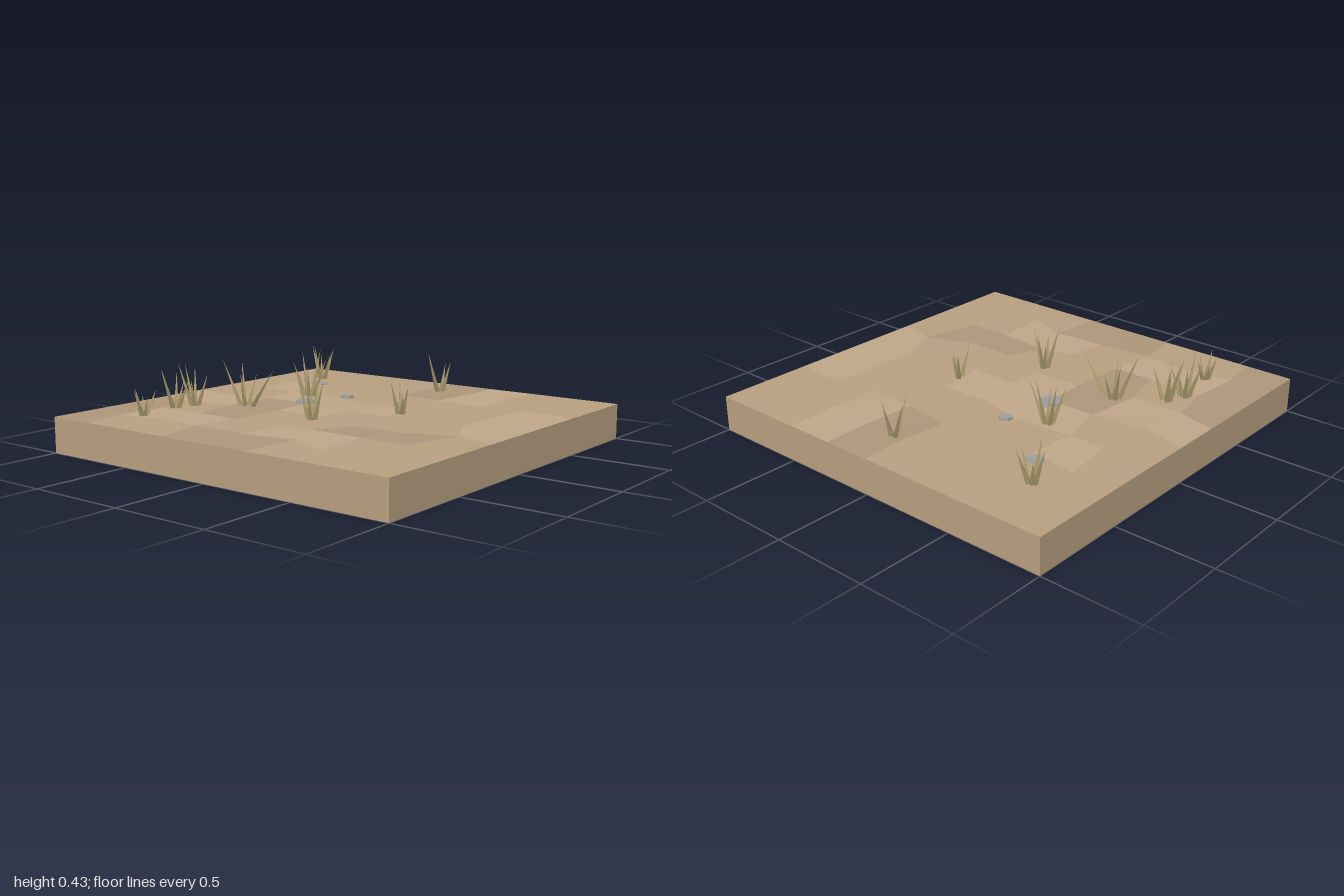
import * as THREE from 'three';

const mat = (name, color, flatShading = true) => {
  const m = new THREE.MeshStandardMaterial({ color, flatShading });
  m.name = name;
  return m;
};
const sand = mat('sand', 0xb89f80);
const lightSand = mat('lightSand', 0xbfa688);
const darkSand = mat('darkSand', 0xad967a);
const stoneGrey = mat('stoneGrey', 0x9c9c9b);
const dryGrass = mat('dryGrass', 0xa6976a);
const TOP = 0.18;

function addMesh(parent, name, geometry, material) {
  const mesh = new THREE.Mesh(geometry, material);
  mesh.name = name;
  parent.add(mesh);
  return mesh;
}

// Interior grid corners of the soil patches, [x, z] for each row
const corners = [
  [[-0.78, -0.78], [-0.52, -0.76], [-0.3, -0.8], [-0.04, -0.77], [0.24, -0.74], [0.51, -0.78], [0.76, -0.76]],
  [[-0.73, -0.47], [-0.52, -0.48], [-0.28, -0.53], [0, -0.5], [0.24, -0.55], [0.49, -0.53], [0.77, -0.5]],
  [[-0.76, -0.29], [-0.52, -0.26], [-0.22, -0.24], [0, -0.25], [0.26, -0.24], [0.5, -0.25], [0.74, -0.22]],
  [[-0.74, 0], [-0.52, 0.03], [-0.22, 0.02], [-0.03, 0.04], [0.2, 0], [0.53, -0.02], [0.8, 0]],
  [[-0.71, 0.28], [-0.48, 0.2], [-0.3, 0.29], [-0.04, 0.28], [0.22, 0.26], [0.49, 0.23], [0.75, 0.25]],
  [[-0.8, 0.5], [-0.5, 0.48], [-0.3, 0.53], [-0.04, 0.55], [0.22, 0.48], [0.48, 0.5], [0.75, 0.5]],
  [[-0.73, 0.71], [-0.5, 0.72], [-0.2, 0.8], [0, 0.7], [0.27, 0.71], [0.52, 0.72], [0.76, 0.74]],
];
// Shade of each patch: 0 sand, 1 light, 2 dark
const shades = ['22210000', '01010100', '01221000', '20011000',
  '21001022', '01200011', '00200000', '00011100'];

function corner(i, j) {
  if (i === 0 || j === 0 || i === 8 || j === 8) {
    // rim: straight along the block edge
    return [i / 4 - 1, TOP + 0.0005, j / 4 - 1];
  }
  const [x, z] = corners[j - 1][i - 1];
  return [x, TOP + 0.002 + 0.006 * (((i * 5 + j * 3 + i * j) % 7) / 7), z];
}

// Uneven soil surface, one mesh for each shade
function addSoil(parent) {
  const points = [[], [], []];
  for (let j = 0; j < 8; j++) {
    for (let i = 0; i < 8; i++) {
      const a = corner(i, j), b = corner(i + 1, j), c = corner(i + 1, j + 1), d = corner(i, j + 1);
      points[+shades[j][i]].push(...a, ...d, ...c, ...a, ...c, ...b);
    }
  }
  [sand, lightSand, darkSand].forEach((material, k) => {
    const g = new THREE.BufferGeometry();
    g.setAttribute('position', new THREE.Float32BufferAttribute(points[k], 3));
    g.computeVertexNormals();
    addMesh(parent, ['soilSurface', 'lightSoilPatches', 'darkSoilPatches'][k], g, material);
  });
}

// Grass clumps: centre, height, and the [x, z] of every blade tip
const clumps = [
  { at: [-0.72, -0.67], h: 0.14, tips: [[-0.79, -0.66], [-0.72, -0.73], [-0.64, -0.67], [-0.74, -0.62], [-0.69, -0.71]] },
  { at: [-0.47, -0.71], h: 0.21, tips: [[-0.57, -0.7], [-0.49, -0.79], [-0.42, -0.75], [-0.46, -0.62], [-0.43, -0.69]] },
  { at: [-0.37, -0.67], h: 0.23, tips: [[-0.44, -0.72], [-0.37, -0.74], [-0.32, -0.72], [-0.36, -0.59], [-0.42, -0.65]] },
  { at: [-0.22, -0.46], h: 0.24, tips: [[-0.28, -0.56], [-0.16, -0.54], [-0.21, -0.28], [-0.28, -0.44], [-0.15, -0.45]] },
  { at: [0.2, -0.39], h: 0.25, tips: [[0.27, -0.37], [0.24, -0.47], [0.22, -0.29], [0.14, -0.45], [0.15, -0.36]] },
  { at: [0.69, -0.7], h: 0.21, tips: [[0.62, -0.7], [0.7, -0.78], [0.76, -0.67], [0.68, -0.63], [0.73, -0.74]] },
  { at: [-0.3, 0.04], h: 0.23, tips: [[-0.33, -0.03], [-0.22, 0.02], [-0.3, 0.11], [-0.36, 0.06], [-0.26, 0]] },
  { at: [0.76, 0.07], h: 0.2, tips: [[0.79, -0.03], [0.66, 0.07], [0.77, 0.13], [0.81, 0.07], [0.72, 0.04]] },
  { at: [0.08, 0.29], h: 0.17, tips: [[0.02, 0.27], [0.14, 0.24], [0.07, 0.34], [0.12, 0.3], [0.04, 0.33]] },
];
const bladeHeights = [1, 0.92, 0.85, 0.75, 0.65];

// One tapering blade from the soil to its tip
function addBlade(parent, base, tip) {
  const dir = tip.clone().sub(base);
  const g = new THREE.ConeGeometry(0.016, dir.length(), 4);
  g.translate(0, dir.length() / 2, 0);
  const blade = addMesh(parent, 'grassBlade', g, dryGrass);
  blade.position.copy(base);
  blade.quaternion.setFromUnitVectors(new THREE.Vector3(0, 1, 0), dir.normalize());
}

function addClump(parent, { at, h, tips }) {
  const clump = new THREE.Group();
  clump.name = 'grassClump';
  tips.forEach(([x, z], k) => {
    const base = new THREE.Vector3(at[0] + (x - at[0]) * 0.2, TOP - 0.005, at[1] + (z - at[1]) * 0.2);
    addBlade(clump, base, new THREE.Vector3(x, TOP + h * bladeHeights[k], z));
  });
  parent.add(clump);
}

// Flat faceted stone with a bevelled rim
function addStone(parent, x, z, radius, height, sides, turn) {
  const g = new THREE.CylinderGeometry(radius * 0.8, radius, height + 0.02, sides);
  const stone = addMesh(parent, 'stone', g, stoneGrey);
  stone.position.set(x, TOP + (height - 0.02) / 2, z);
  stone.rotation.y = turn;
}

export function createModel() {
  const model = new THREE.Group();
  model.name = 'dryGroundTile';
  const block = addMesh(model, 'groundBlock', new THREE.BoxGeometry(2, TOP, 2), sand);
  block.position.y = TOP / 2;
  addSoil(model);
  addStone(model, 0.025, -0.265, 0.067, 0.024, 7, 0.4);
  addStone(model, 0.525, -0.58, 0.055, 0.013, 6, 0.3);
  addStone(model, 0.29, -0.205, 0.041, 0.015, 6, 0.5);
  clumps.forEach((c) => addClump(model, c));
  return model;
}
